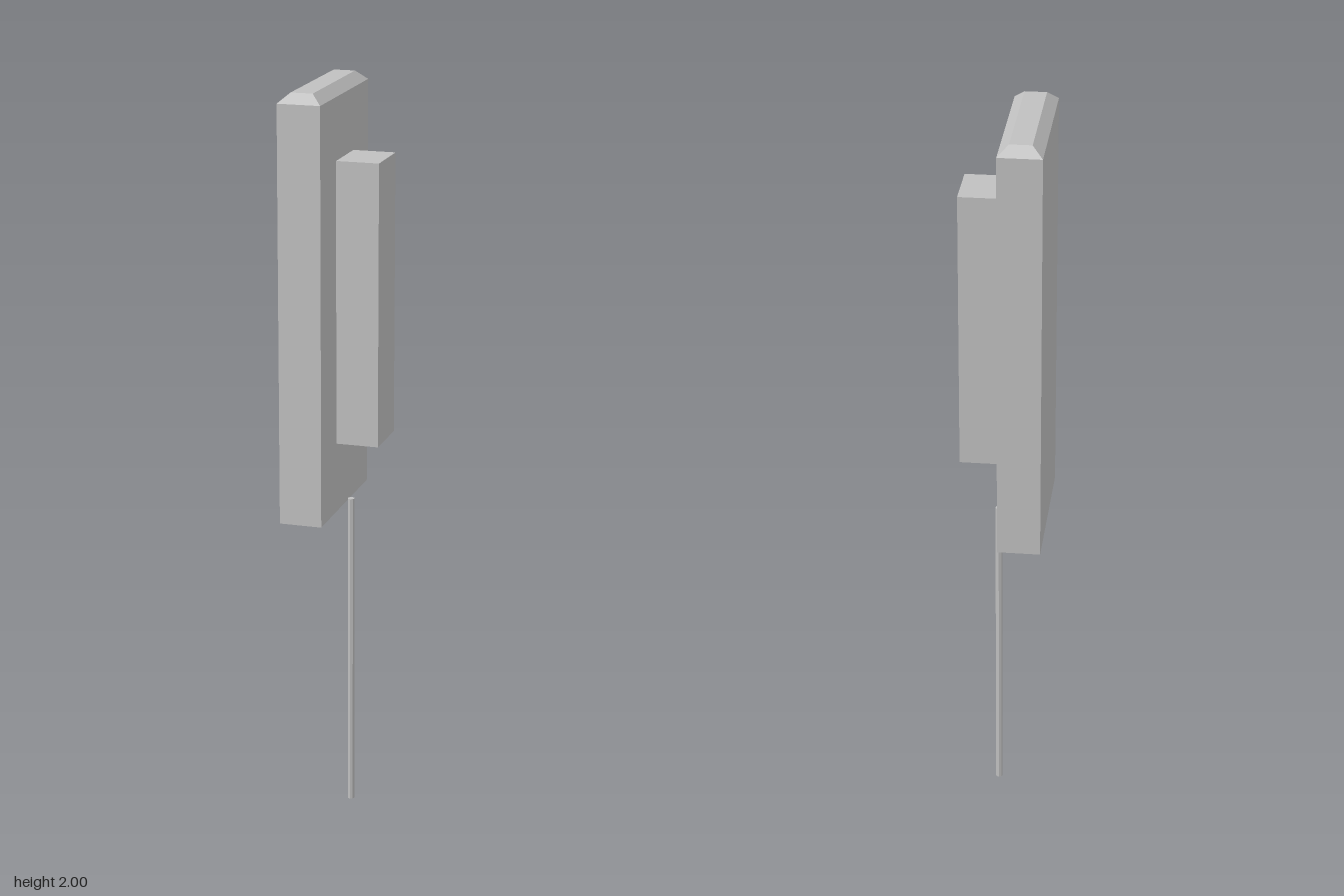
import * as THREE from 'three';

const grey = new THREE.MeshStandardMaterial({ color: 0xc0c0c0, flatShading: true });
grey.name = 'light grey';

function addPart(group, name, geometry, x, y, z) {
  const mesh = new THREE.Mesh(geometry, grey);
  mesh.name = name;
  mesh.position.set(x, y, z);
  group.add(mesh);
  return mesh;
}

// Box whose top face is drawn in by the given inset on all four sides
function taperedBox(w, h, d, inset) {
  const geometry = new THREE.BoxGeometry(w, h, d);
  const p = geometry.attributes.position;
  for (let i = 0; i < p.count; i++) {
    if (p.getY(i) > 0) {
      p.setX(i, Math.sign(p.getX(i)) * (w / 2 - inset));
      p.setZ(i, Math.sign(p.getZ(i)) * (d / 2 - inset));
    }
  }
  geometry.computeVertexNormals();
  return geometry;
}

export function createModel() {
  const group = new THREE.Group();
  group.name = 'panel on rod';

  const w = 0.114, d = 0.42;
  const bottom = 0.865, shoulder = 1.975, top = 2;

  // Main slab, without a top face as the bevelled cap closes it
  const slab = new THREE.BoxGeometry(w, shoulder - bottom, d);
  addPart(group, 'slab', slab, -w / 2, (bottom + shoulder) / 2, 0);

  // Bevelled cap
  addPart(group, 'bevelledCap', taperedBox(w, top - shoulder, d, 0.028), -w / 2, (top + shoulder) / 2, 0);

  // Raised block on the left face
  addPart(group, 'sideBlock', new THREE.BoxGeometry(w, 0.756, 0.152), w / 2, 1.433, 0);

  // Thin rod reaching down to the ground
  addPart(group, 'rod', new THREE.CylinderGeometry(0.0095, 0.0095, 0.88, 8), 0.018, 0.44, 0);

  return group;
}
